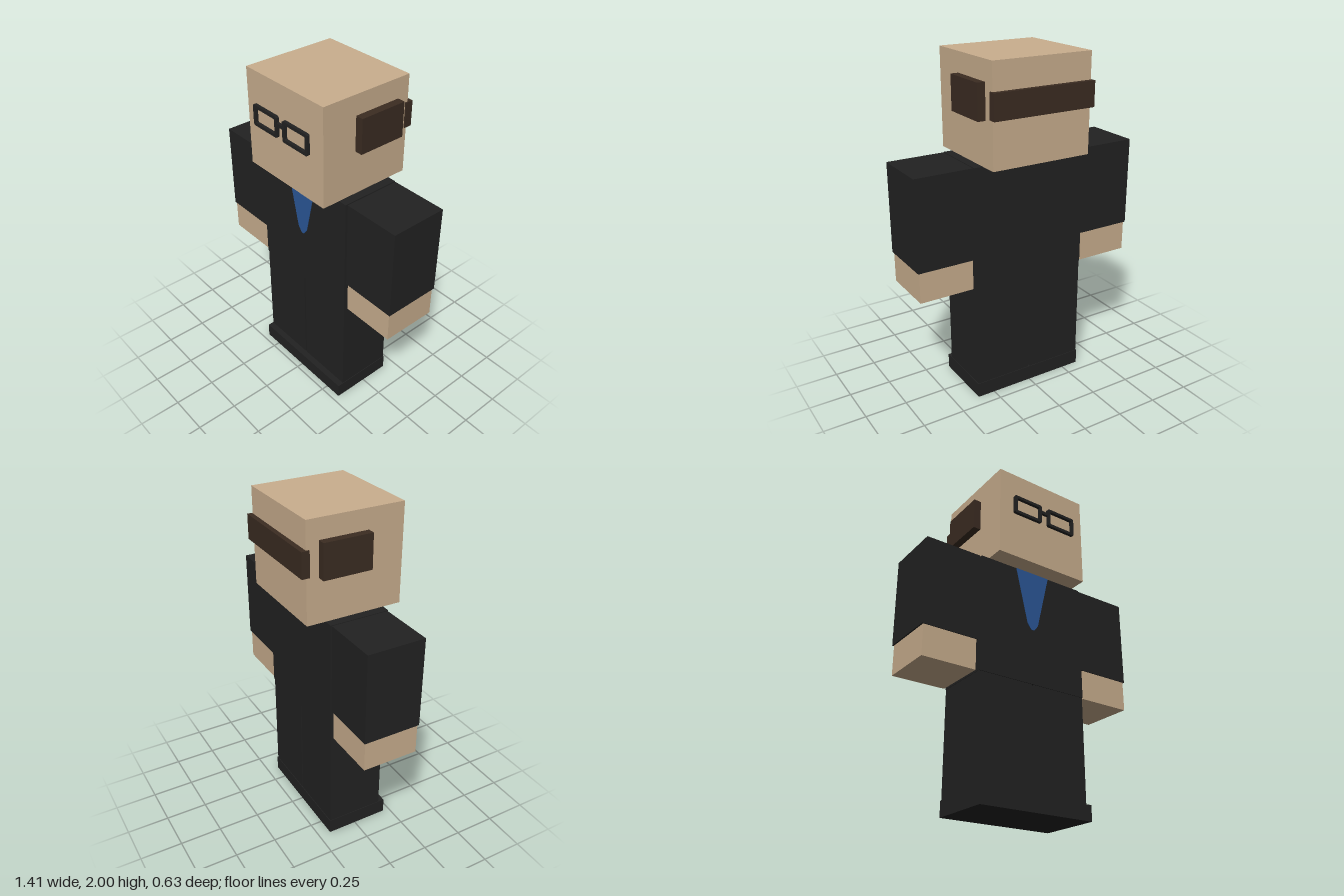
import * as THREE from 'three';

const material = (name, color) => {
  const m = new THREE.MeshStandardMaterial({ color });
  m.name = name;
  return m;
};

export function createModel() {
  const model = new THREE.Group();
  model.name = 'blockyMan';

  const skin = material('skin', 0xc9ae8e);
  const suit = material('black suit', 0x222222);
  const hair = material('dark brown hair', 0x3b2c22);
  const blue = material('blue shirt', 0x2b5797);

  const add = (name, geometry, mat) => {
    const mesh = new THREE.Mesh(geometry, mat);
    mesh.name = name;
    model.add(mesh);
    return mesh;
  };

  // Box given by its lower and upper limit on each axis
  const box = (name, mat, [x0, x1], [y0, y1], [z0, z1]) => {
    const mesh = add(name, new THREE.BoxGeometry(x1 - x0, y1 - y0, z1 - z0), mat);
    mesh.position.set((x0 + x1) / 2, (y0 + y1) / 2, (z0 + z1) / 2);
  };

  // Outline with small cut corners, used for the spectacle rims
  const chamferedRect = (target, x0, x1, y0, y1, c) => {
    target.setFromPoints([
      [x0 + c, y0], [x1 - c, y0], [x1, y0 + c], [x1, y1 - c],
      [x1 - c, y1], [x0 + c, y1], [x0, y1 - c], [x0, y0 + c],
    ].map(([x, y]) => new THREE.Vector2(x, y)));
    target.closePath();
    return target;
  };

  // Head, torso and one-piece shoes
  box('head', skin, [-0.305, 0.305], [1.43, 2], [-0.287, 0.283]);
  box('torso', suit, [-0.356, 0.356], [0.72, 1.43], [-0.177, 0.177]);
  box('shoes', suit, [-0.358, 0.358], [0, 0.09], [-0.177, 0.21]);

  // Hair strip around the back
  box('backHair', hair, [-0.313, 0.313], [1.70, 1.845], [-0.316, -0.27]);

  // Paired parts
  for (const [side, s] of [['left', 1], ['right', -1]]) {
    const span = (a, b) => (s > 0 ? [a, b] : [-b, -a]);
    box(side + 'Sleeve', suit, span(0.363, 0.704), [0.9, 1.43], [-0.173, 0.169]);
    box(side + 'Hand', skin, span(0.371, 0.696), [0.72, 0.9], [-0.166, 0.164]);
    box(side + 'Leg', suit, span(0.005, 0.354), [0.09, 0.72], [-0.173, 0.173]);
    box(side + 'SideHair', hair, span(0.3, 0.351), [1.685, 1.885], [-0.215, 0.072]);

    // Spectacle rim with its lens opening
    const [x0, x1] = span(0.023, 0.22);
    const rim = chamferedRect(new THREE.Shape(), x0, x1, 1.708, 1.829, 0.007);
    rim.holes.push(chamferedRect(new THREE.Path(), x0 + 0.018, x1 - 0.018, 1.726, 1.811, 0.004));
    add(side + 'Rim', new THREE.ExtrudeGeometry(rim, { depth: 0.018, bevelEnabled: false }), suit)
      .position.z = 0.297;
  }
  box('spectacleBridge', suit, [-0.028, 0.028], [1.777, 1.797], [0.298, 0.314]);

  // Tapered shirt front, a thin plate on the chest
  const shirt = new THREE.Shape([
    [-0.115, 1.43], [-0.036, 1.09], [-0.01, 1.055],
    [0.01, 1.055], [0.036, 1.09], [0.115, 1.43],
  ].map(([x, y]) => new THREE.Vector2(x, y)));
  add('shirtFront', new THREE.ExtrudeGeometry(shirt, { depth: 0.005, bevelEnabled: false }), blue)
    .position.z = 0.175;

  return model;
}
